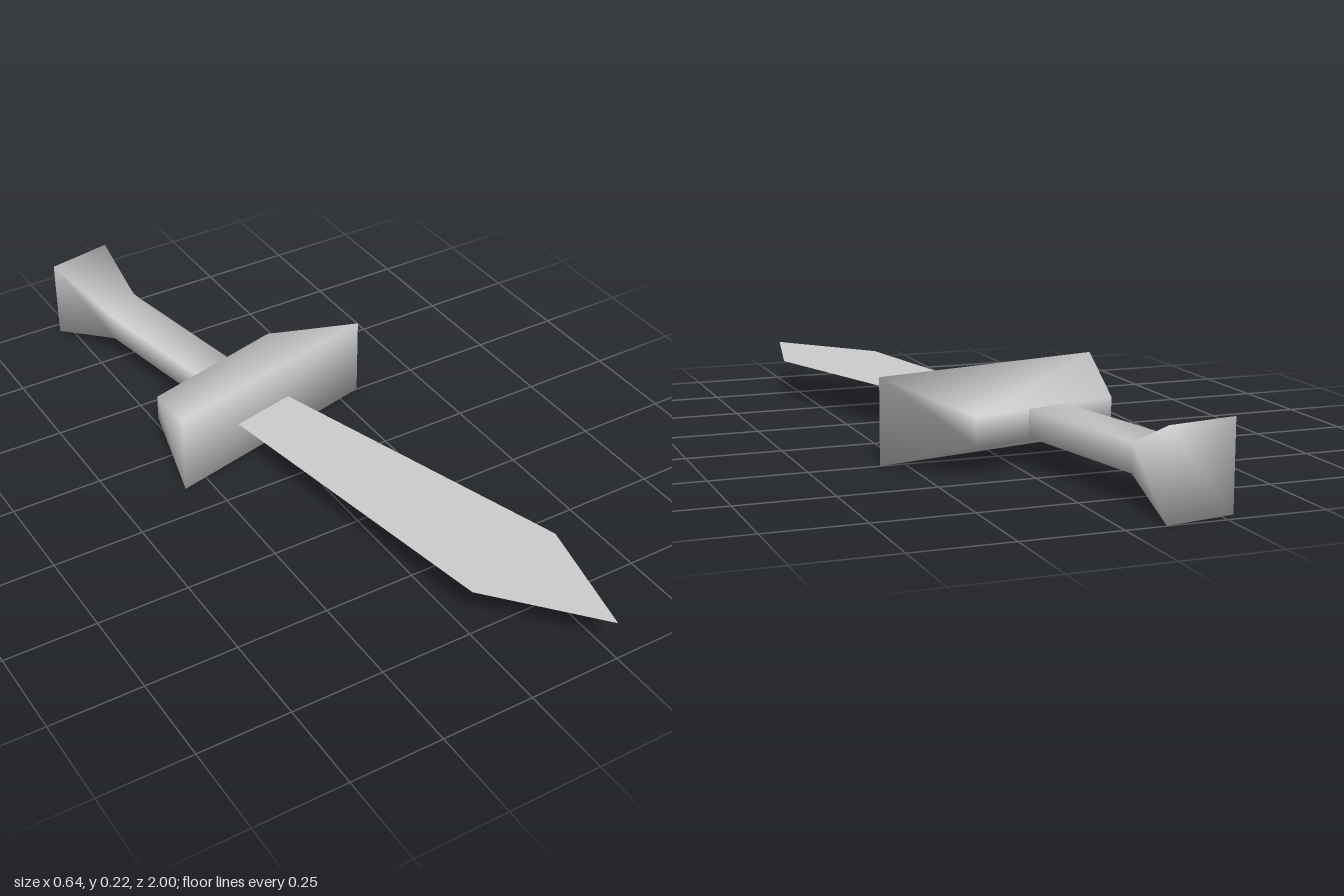
import * as THREE from 'three';

const MID = 0.1125; // height of the flat centre plane

// Loft of four-cornered sections [x1, z1, x2, z2, halfHeight], ordered front to back, with shared smooth normals
function loft(sections) {
  const pos = [], index = [];
  for (const [x1, z1, x2, z2, h] of sections) {
    pos.push(x1, MID - h, z1, x2, MID - h, z2, x2, MID + h, z2, x1, MID + h, z1);
  }
  for (let s = 0; s < sections.length - 1; s++) {
    for (let k = 0; k < 4; k++) {
      const a = s * 4 + k, b = s * 4 + (k + 1) % 4;
      index.push(a, a + 4, b, b, a + 4, b + 4);
    }
  }
  const e = (sections.length - 1) * 4;
  index.push(0, 1, 2, 0, 2, 3, e, e + 2, e + 1, e, e + 3, e + 2);
  const g = new THREE.BufferGeometry();
  g.setAttribute('position', new THREE.Float32BufferAttribute(pos, 3));
  g.setIndex(index);
  g.computeVertexNormals();
  return g;
}

export function createModel() {
  const group = new THREE.Group();
  const steel = new THREE.MeshStandardMaterial({ color: 0xcccccc, side: THREE.DoubleSide });
  steel.name = 'paleGrey';

  const add = (name, geometry) => {
    const mesh = new THREE.Mesh(geometry, steel);
    mesh.name = name;
    group.add(mesh);
    return mesh;
  };

  // Guard: tall skewed front tapering to a low back edge
  add('guard', loft([
    [-0.32, -0.10, 0.315, -0.25, 0.1125],
    [-0.28, -0.325, 0.13, -0.435, 0.036],
  ]));

  // Handle: slim square grip flaring into the pommel
  add('handle', loft([
    [-0.14, -0.362, -0.025, -0.393, 0.036],
    [-0.207, -0.74, -0.10, -0.82, 0.036],
    [-0.283, -0.965, -0.10, -1.0, 0.1125],
  ]));

  // Blade: flat sheet with a skewed point, lying in the centre plane
  const outline = [[-0.13, -0.145], [0.015, 0.73], [0.243, 0.995], [0.317, 0.66], [0.05, -0.187]];
  const shape = new THREE.Shape(outline.map(([x, z]) => new THREE.Vector2(x, -z)));
  const blade = new THREE.ShapeGeometry(shape);
  blade.rotateX(-Math.PI / 2);
  blade.translate(0, MID, 0);
  add('blade', blade);

  return group;
}
